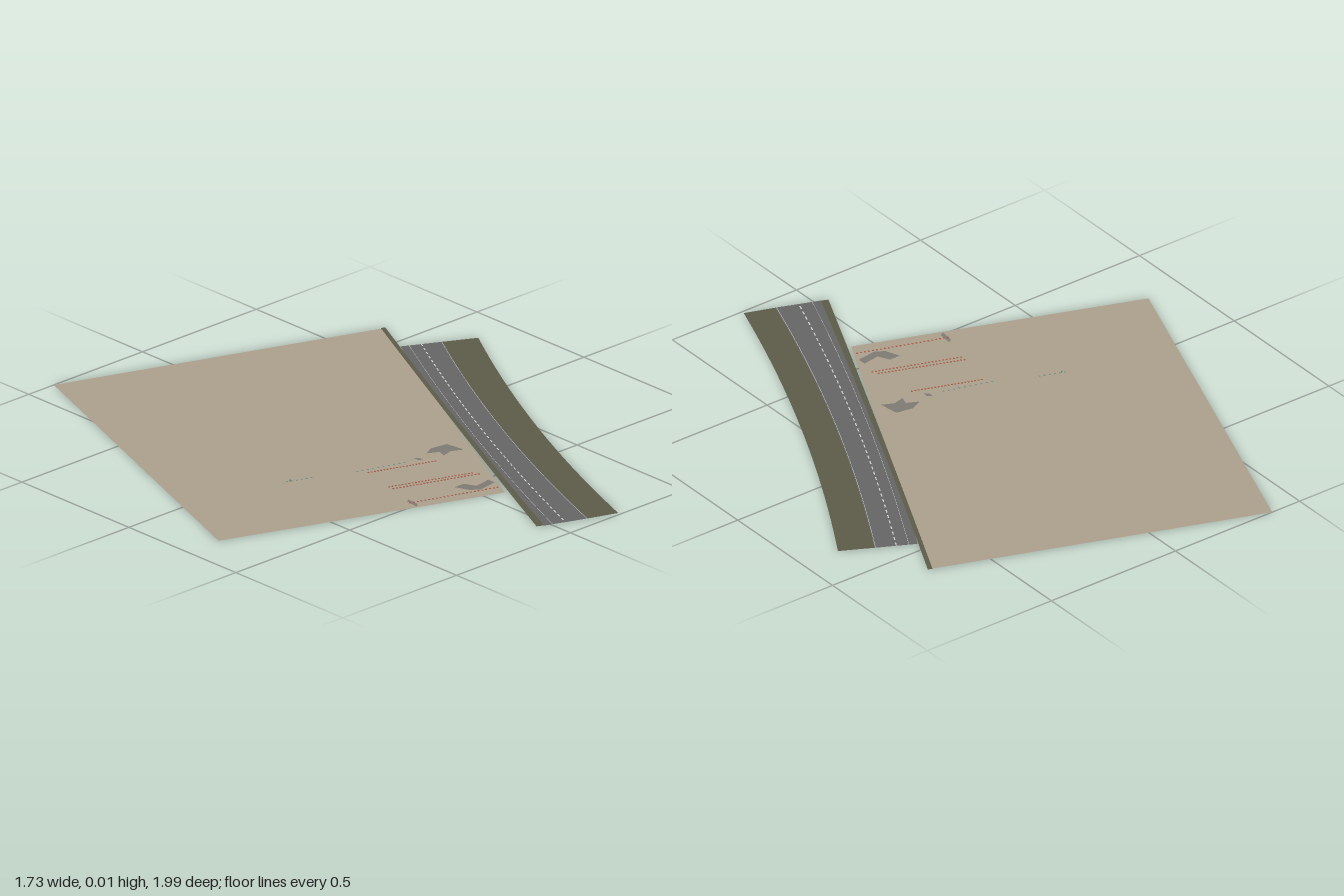
import * as THREE from 'three';

const mat = (color) => new THREE.MeshStandardMaterial({ color, side: THREE.DoubleSide });
const sand = mat(0xaa9e8b), asphalt = mat(0x646464), grass = mat(0x5c5a48), paint = mat(0xd8d8d4),
  paving = mat(0x7c7972), red = mat(0xb0604a), teal = mat(0x7d9a90);

// Quadratic curve through start, middle and end points given as [x, z]
function through(a, m, b) {
  const A = new THREE.Vector2(...a), B = new THREE.Vector2(...b);
  const c = new THREE.Vector2(2 * m[0] - (A.x + B.x) / 2, 2 * m[1] - (A.y + B.y) / 2);
  return new THREE.QuadraticBezierCurve(A, c, B);
}

// Flat strip between two edge curves, from fraction f0 to f1 across and t0 to t1 along
function strip(name, left, right, y, material, f0 = 0, f1 = 1, spans = [[0, 1]], steps = 24) {
  const pos = [], index = [];
  for (const [t0, t1] of spans) {
    const base = pos.length / 3;
    for (let i = 0; i <= steps; i++) {
      const t = t0 + (t1 - t0) * i / steps;
      const l = left.getPoint(t), r = right.getPoint(t);
      for (const f of [f0, f1]) {
        const p = l.clone().lerp(r, f);
        pos.push(p.x, y, p.y);
      }
      if (i < steps) {
        const k = base + i * 2;
        index.push(k, k + 2, k + 1, k + 1, k + 2, k + 3);
      }
    }
  }
  const g = new THREE.BufferGeometry();
  g.setAttribute('position', new THREE.Float32BufferAttribute(pos, 3));
  g.setIndex(index);
  // Strips run towards +z, so this winding faces up
  g.computeVertexNormals();
  const mesh = new THREE.Mesh(g, material);
  mesh.name = name;
  return mesh;
}

// Flat polygon from [x, z] corners
function flat(name, points, y, material) {
  const g = new THREE.ShapeGeometry(new THREE.Shape(points.map(([x, z]) => new THREE.Vector2(x, -z))));
  g.rotateX(-Math.PI / 2);
  const mesh = new THREE.Mesh(g, material);
  mesh.name = name;
  mesh.position.y = y;
  return mesh;
}

// Row of tiny posts between two [x, z] points
function postRow(name, a, b, count, size, height, material) {
  const row = new THREE.Group();
  row.name = name;
  const geo = new THREE.BoxGeometry(size, height, size);
  for (let i = 0; i < count; i++) {
    const t = i / (count - 1);
    const post = new THREE.Mesh(geo, material);
    post.position.set(a[0] + (b[0] - a[0]) * t, 0.001 + height / 2, a[1] + (b[1] - a[1]) * t);
    post.rotation.y = -0.35;
    row.add(post);
  }
  return row;
}

export function createModel() {
  const model = new THREE.Group();
  model.name = 'roadsideSite';

  // Open sandy lot
  model.add(flat('lot', [[-0.39, -1], [0.69, -0.61], [0.07, 0.62], [-0.865, 0.275]], 0.001, sand));

  // Edges of the gently bending road and its verges
  const vergeOuter = through([0.685, -0.615], [0.315, 0.14], [-0.045, 0.89]);
  const vergeInner = through([0.7, -0.61], [0.333, 0.14], [-0.022, 0.9]);
  const roadLeft = through([0.63, -0.465], [0.285, 0.21], [-0.025, 0.9]);
  const roadRight = through([0.755, -0.4], [0.405, 0.265], [0.12, 0.955]);
  const bankEdge = through([0.86, -0.345], [0.505, 0.31], [0.22, 0.99]);
  model.add(strip('nearVerge', vergeOuter, vergeInner, 0.002, grass));
  model.add(strip('road', roadLeft, roadRight, 0.0015, asphalt));
  model.add(strip('farVerge', roadRight, bankEdge, 0.0015, grass));

  // Road markings
  const dashes = Array.from({ length: 45 }, (_, i) => [i / 45, (i + 0.55) / 45]);
  model.add(strip('centreDashes', roadLeft, roadRight, 0.0025, paint, 0.48, 0.51, dashes, 1));
  model.add(strip('leftEdgeLine', roadLeft, roadRight, 0.0025, paint, 0.2, 0.208));
  model.add(strip('rightEdgeLine', roadLeft, roadRight, 0.0025, paint, 0.97, 0.98));

  // Irregular paved patches
  const patches = [
    [[0.1, 0.22], [0.14, 0.2], [0.2, 0.21], [0.21, 0.28], [0.17, 0.26], [0.13, 0.27], [0.14, 0.24]],
    [[0.045, 0.22], [0.06, 0.23], [0.06, 0.25], [0.045, 0.24]],
    [[-0.02, 0.48], [0.02, 0.48], [0.04, 0.52], [0.1, 0.51], [0.1, 0.54], [0.03, 0.55], [0, 0.53]],
    [[-0.21, 0.46], [-0.195, 0.45], [-0.2, 0.5], [-0.215, 0.51]],
  ];
  patches.forEach((p, i) => model.add(flat('pavedPatch' + (i + 1), p, 0.0018, paving)));

  // Rows of small markers on the lot
  const rows = [
    [[-0.14, 0.205], [0.08, 0.285], 22, red],
    [[-0.17, 0.335], [0.1, 0.435], 26, red],
    [[-0.17, 0.355], [0.11, 0.455], 26, red],
    [[-0.21, 0.475], [0.08, 0.575], 24, red],
    [[-0.16, 0.175], [0, 0.225], 10, teal],
    [[-0.38, 0.08], [-0.3, 0.11], 6, teal],
  ];
  rows.forEach(([a, b, n, m], i) => model.add(postRow('markerRow' + (i + 1), a, b, n, 0.005, 0.002, m)));

  // Single taller post at the far end of the rows
  const post = new THREE.Mesh(new THREE.BoxGeometry(0.003, 0.007, 0.003), teal);
  post.name = 'tallPost';
  post.position.set(-0.37, 0.0045, 0.085);
  model.add(post);

  return model;
}
